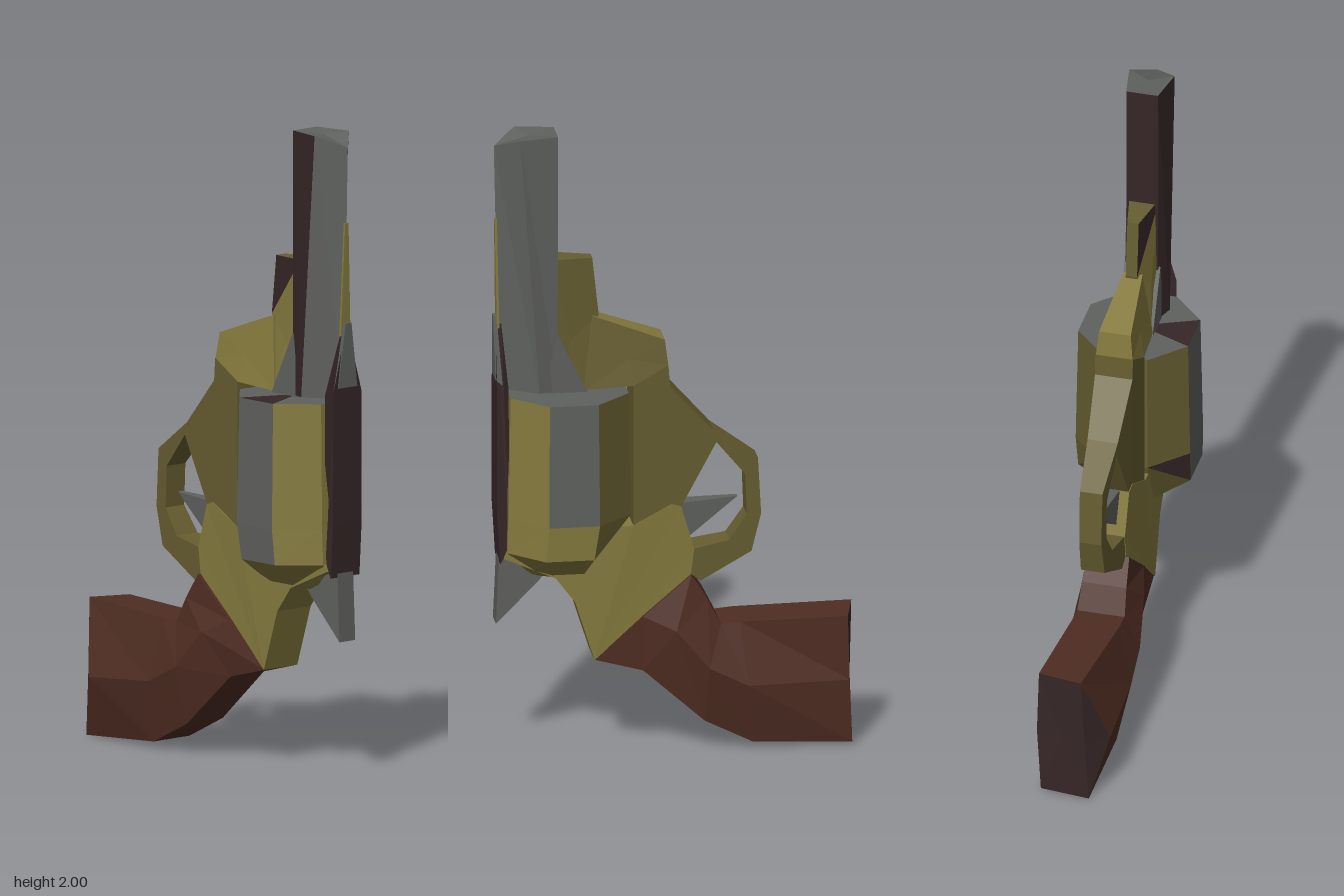
import * as THREE from 'three';

const mat = (name, color) => {
  const m = new THREE.MeshStandardMaterial({ color });
  m.name = name;
  m.flatShading = true;
  return m;
};

export function createModel() {
  const brass = mat('brass', 0x857a3e);
  const steel = mat('steel', 0x5f615e);
  const dark = mat('dark brown metal', 0x362627);
  const wood = mat('wood', 0x4f2d22);
  const olive = mat('dull brass', 0x665d30);
  const all = [brass, steel, dark, wood, olive];
  const [B, S, D, W, O] = [0, 1, 2, 3, 4];
  const group = new THREE.Group();

  const add = (name, geometry, material) => {
    const mesh = new THREE.Mesh(geometry, material);
    mesh.name = name;
    group.add(mesh);
    return mesh;
  };

  // Skins a list of rings; colour(band, side) picks a material, bands -1 and 'end' are the caps
  function loft(name, rings, colour) {
    const tris = [];
    const n = rings[0].length;
    for (let b = 0; b < rings.length - 1; b++) {
      for (let i = 0; i < n; i++) {
        const j = (i + 1) % n, c = colour(b, i);
        const [p, q, r, s] = [rings[b][i], rings[b][j], rings[b + 1][j], rings[b + 1][i]];
        tris.push([p, q, r, c], [p, r, s, c]);
      }
    }
    const centre = (ring) => [0, 1, 2].map((k) => ring.reduce((t, p) => t + p[k], 0) / n);
    const first = rings[0], last = rings[rings.length - 1];
    const c0 = centre(first), c1 = centre(last);
    for (let i = 0; i < n; i++) {
      const j = (i + 1) % n;
      tris.push([c0, first[j], first[i], colour(-1, i)], [c1, last[i], last[j], colour('end', i)]);
    }
    // Turn every face outwards using the signed volume
    const v = (p) => new THREE.Vector3(...p);
    const volume = tris.reduce((t, [a, b, c]) => t + v(a).dot(v(b).cross(v(c))), 0);
    const g = new THREE.BufferGeometry();
    const pos = [];
    tris.forEach(([a, b, c, m], k) => {
      pos.push(...a, ...(volume > 0 ? b : c), ...(volume > 0 ? c : b));
      g.addGroup(k * 3, 3, m);
    });
    g.setAttribute('position', new THREE.Float32BufferAttribute(pos, 3));
    g.computeVertexNormals();
    return add(name, g, all);
  }

  // Wedge from [x, y, half thickness] points, with its own front, edge and back colours
  const wedge = (name, pts, front, edge, back) => loft(name,
    [1, -1].map((s) => pts.map(([x, y, h]) => [x, y, s * h])),
    (band) => (band === -1 ? front : band === 'end' ? back : edge));

  // Flat outline extruded symmetrically; half(x, y) gives the local half thickness
  function plate(name, outline, half, material) {
    const shape = new THREE.Shape(outline.map(([x, y]) => new THREE.Vector2(x, y)));
    const g = new THREE.ExtrudeGeometry(shape, { depth: 2, bevelEnabled: false });
    g.translate(0, 0, -1);
    const p = g.attributes.position;
    for (let i = 0; i < p.count; i++) p.setZ(i, p.getZ(i) * half(p.getX(i), p.getY(i)));
    g.computeVertexNormals();
    return add(name, g, material);
  }

  // Frame: bright lower body, dull middle with the trigger guard, thinner towards the guard
  const frameHalf = (x) => THREE.MathUtils.clamp(0.035 + (x + 0.27) * 0.085, 0.035, 0.068);
  plate('lowerFrame', [
    [0.25, 0.31], [0.31, 0.5], [0.37, 0.58], [0.53, 0.65], [0.5, 0.72], [0.13, 0.74],
    [0.01, 0.8], [-0.02, 0.79], [-0.06, 0.65], [-0.05, 0.57],
  ], (x) => frameHalf(x) + 0.002, brass);
  plate('middleFrameAndGuard', [
    [0.13, 0.74], [0.13, 1.19], [0.02, 1.25], [0.015, 1.18], [-0.12, 1.03], [-0.26, 0.93],
    [-0.27, 0.75], [-0.24, 0.63], [-0.08, 0.545], [-0.05, 0.57], [-0.06, 0.65], [-0.17, 0.67],
    [-0.225, 0.75], [-0.22, 0.88], [-0.13, 0.99], [-0.02, 0.79], [0.01, 0.8],
  ], frameHalf, olive);
  wedge('frameNose', [
    [0.02, 1.25, 0.058], [0.13, 1.19, 0.066], [0.28, 1.18, 0.055], [0.25, 1.41, 0.03], [0.03, 1.33, 0.05],
  ], B, B, O);
  plate('trigger', [[-0.2, 0.8], [-0.02, 0.66], [0.01, 0.79]], (x) => 0.01 + Math.max(0, x + 0.2) * 0.1, steel);

  // Ejector lug under the barrel, with a dark tip on the front side
  wedge('ejectorLug', [
    [0.28, 1.18, 0.05], [0.38, 1.18, 0.05], [0.38, 1.59, 0.045], [0.23, 1.41, 0.018],
  ], B, O, O);
  wedge('lugTip', [
    [0.23, 1.41, 0.018], [0.38, 1.59, 0.045], [0.38, 1.6, 0.045], [0.25, 1.595, 0.018],
  ], D, O, O);
  plate('barrelCollar', [[0.27, 1.175], [0.4, 1.175], [0.365, 1.37]], () => 0.057, steel);

  // Five-sided barrel
  const barrelRing = (y, tip, ridge, mid) => [
    [ridge, y - tip, 0], [mid, y, 0.072], [0.36, y, 0.05], [0.36, y, -0.05], [mid, y, -0.072],
  ];
  loft('barrel', [barrelRing(1.18, 0, 0.535, 0.42), barrelRing(2, 0.035, 0.552, 0.48)],
    (band, i) => (band === 0 && (i === 1 || i === 2) ? D : S));

  // Thin front sight along the barrel ridge
  loft('frontSight', [
    [[0.545, 1.38, 0.022], [0.545, 1.38, -0.018], [0.537, 1.38, -0.018], [0.537, 1.38, 0.022]],
    [[0.55, 1.73, 0.009], [0.55, 1.73, -0.005], [0.543, 1.73, -0.005], [0.543, 1.73, 0.009]],
  ], () => B);

  // Eight-sided cylinder and the recoil shield beneath it
  const octagon = (fn) => Array.from({ length: 8 }, (_, i) => {
    const a = (i + 0.5) * Math.PI / 4;
    return fn(Math.cos(a), Math.sin(a));
  });
  const drum = (y, r) => octagon((c, s) => [0.327 + 1.05 * r * c, y, r * s]);
  const shield = octagon((c, s) => [0.34 + 0.195 * c, 0.67 + Math.max(0, -c - 0.4) * 0.18, 0.192 * s]);
  const base = octagon((c, s) => [0.33 + 0.12 * c, 0.58, 0.06 * s]);
  loft('cylinder', [drum(1.17, 0.188), drum(0.78, 0.196), shield, base], (band, i) => {
    if (band === -1) return i === 1 ? D : S;
    if (band === 0 && (i === 1 || i === 5)) return S;
    if (band === 1 && i === 1) return S;
    if (band === 1 && i === 2) return D;
    return i >= 2 && i <= 4 ? O : B;
  });

  // Top strap, narrowing to a point over the barrel, with the rear sight
  plate('topStrap', [[0.51, 0.68], [0.54, 0.63], [0.55, 0.8], [0.55, 1.2], [0.548, 1.39], [0.53, 1.39], [0.515, 1.2]],
    (x, y) => (y > 1.3 ? 0.008 : 0.06), dark);
  plate('rearSight', [[0.53, 1.2], [0.552, 1.22], [0.556, 1.42], [0.545, 1.42]],
    (x, y) => (y > 1.3 ? 0.012 : 0.04), steel);

  // Hammer spur
  plate('hammer', [[0.39, 0.6], [0.42, 0.56], [0.55, 0.43], [0.54, 0.66]], () => 0.033, steel);

  // Grip, hexagonal sections from butt to neck: top, middle, bottom, edge width, middle width
  const section = ([tx, ty], [mx, my], [bx, by], e, w) => [
    [tx, ty, e], [mx, my, w], [bx, by, e], [bx, by, -e], [mx, my, -w], [tx, ty, -e],
  ];
  const butt = (mx, mz) => [
    [-0.56, 0.43, 0.045], [mx, 0.2, mz], [-0.55, 0.005, 0.068],
    [-0.545, 0.015, -0.085], [-0.535, 0.22, -0.1], [-0.53, 0.425, -0.095],
  ];
  loft('grip', [
    butt(-0.554, 0.056),
    butt(-0.485, 0.12),
    section([-0.2, 0.415], [-0.22, 0.22], [-0.24, 0.025], 0.075, 0.116),
    section([-0.14, 0.41], [-0.1, 0.28], [-0.09, 0.1], 0.075, 0.113),
    section([-0.1, 0.49], [0.0, 0.4], [0.1, 0.27], 0.07, 0.1),
    section([-0.05, 0.57], [0.1, 0.445], [0.25, 0.31], 0.066, 0.074),
  ], (band) => (band === -1 || band === 0 ? D : W));

  return group;
}
